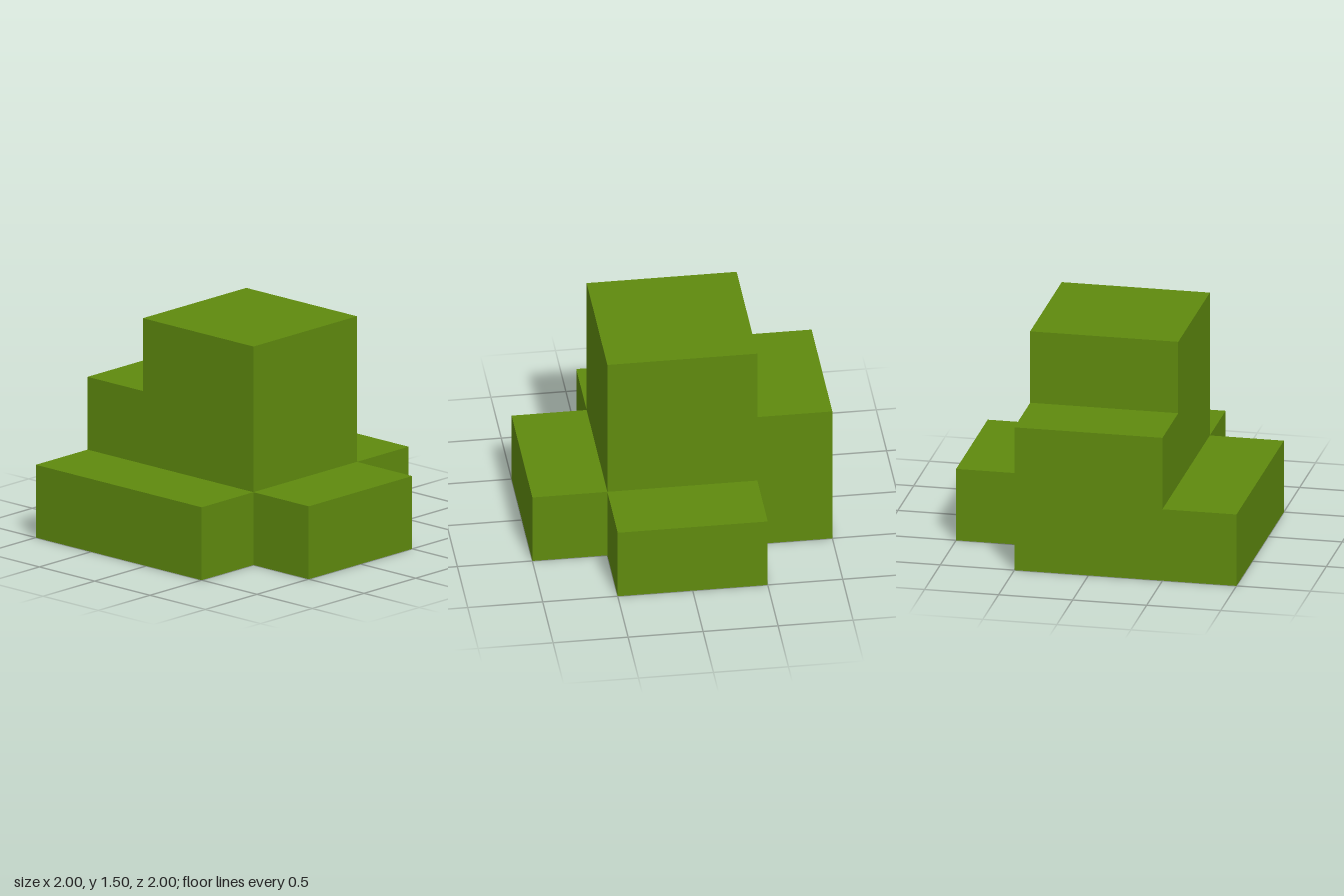
import * as THREE from 'three';

export function createModel() {
  const model = new THREE.Group();
  model.name = 'steppedBlock';
  const green = new THREE.MeshStandardMaterial({ color: 0x5f8a0e });
  green.name = 'moss green';

  // Adds a box standing on the ground between the given x and z limits
  function addBlock(name, x0, x1, z0, z1, height) {
    const geometry = new THREE.BoxGeometry(x1 - x0, height, z1 - z0);
    const mesh = new THREE.Mesh(geometry, green);
    mesh.name = name;
    mesh.position.set((x0 + x1) / 2, height / 2, (z0 + z1) / 2);
    model.add(mesh);
  }

  // Central tower with a half-height step on its right
  addBlock('tower', -0.5, 0.5, -0.5, 0.5, 1.5);
  addBlock('rightStep', -1, -0.5, -0.5, 0.5, 1);

  // Low ledges around the tower
  addBlock('frontLedge', -1, 0.5, 0.5, 1, 0.5);
  addBlock('leftLedge', 0.5, 1, -0.5, 0.5, 0.5);
  addBlock('backLedge', -0.5, 0.5, -1, -0.5, 0.5);

  return model;
}
